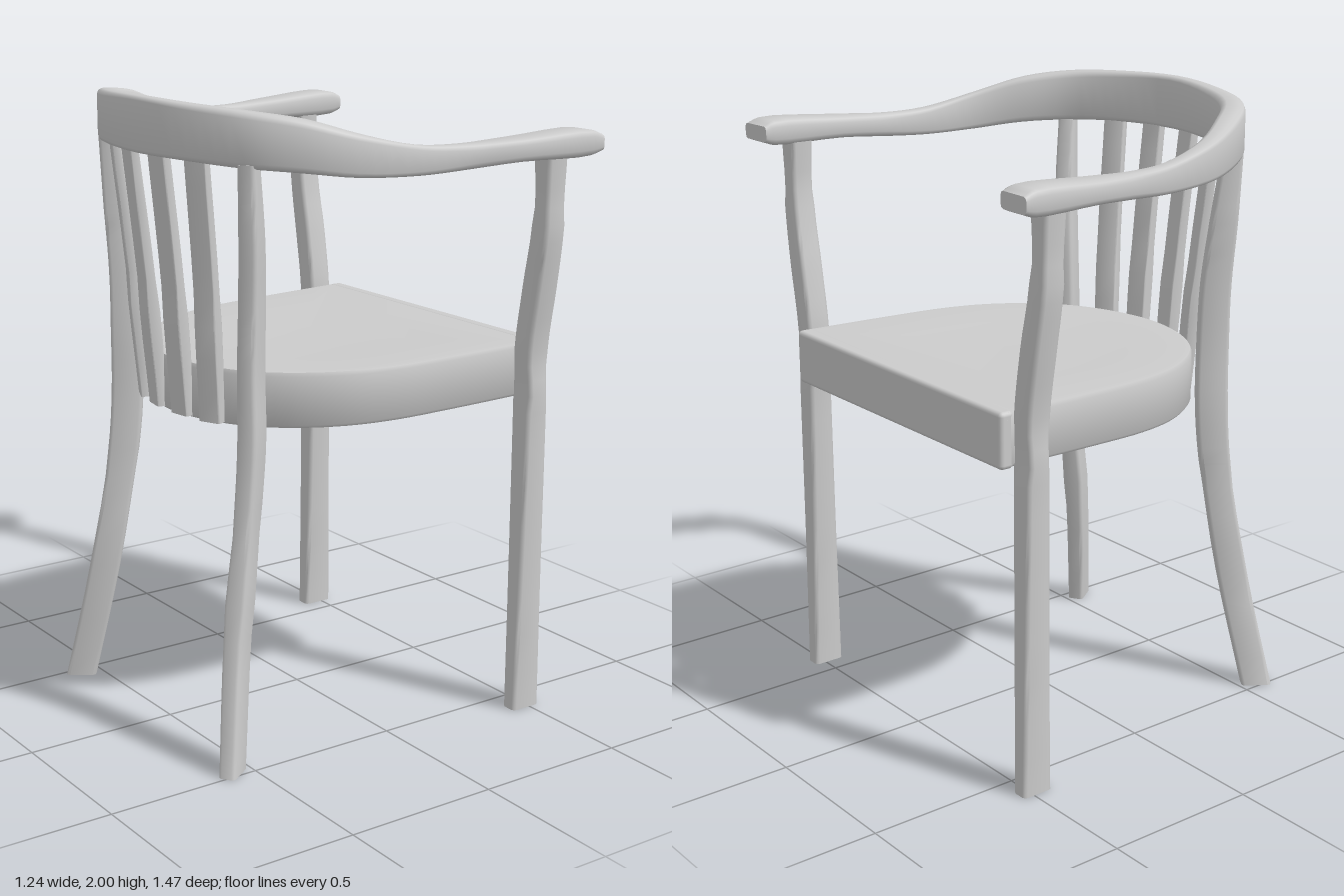
import * as THREE from 'three';
import { toCreasedNormals } from 'three/addons/utils/BufferGeometryUtils.js';
import { RoundedBoxGeometry } from 'three/addons/geometries/RoundedBoxGeometry.js';

const material = new THREE.MeshStandardMaterial({ color: 0xcccccc });

function addMesh(parent, name, geometry) {
  const mesh = new THREE.Mesh(geometry, material);
  mesh.name = name;
  parent.add(mesh);
  return mesh;
}

// Skin a list of equal-length rings and cap both ends
function loft(rings, crease = 0.9) {
  const n = rings[0].length, pos = [], index = [];
  rings.forEach(r => r.forEach(p => pos.push(p.x, p.y, p.z)));
  for (let i = 0; i < rings.length - 1; i++) {
    for (let j = 0; j < n; j++) {
      const a = i * n + j, b = i * n + (j + 1) % n;
      index.push(a, b, b + n, a, b + n, a + n);
    }
  }
  const last = (rings.length - 1) * n;
  for (let j = 1; j < n - 1; j++) {
    index.push(0, j + 1, j, last, last + j, last + j + 1);
  }
  const g = new THREE.BufferGeometry();
  g.setAttribute('position', new THREE.Float32BufferAttribute(pos, 3));
  g.setIndex(index);
  return toCreasedNormals(g, crease);
}

// Counter-clockwise rounded rectangle of size w x h, three points per corner
function roundedRect(w, h, r) {
  const pts = [];
  [[1, 1], [-1, 1], [-1, -1], [1, -1]].forEach(([sx, sy], q) => {
    for (let k = 0; k < 3; k++) {
      const a = (q + k / 2) * Math.PI / 2;
      pts.push([sx * (w / 2 - r) + r * Math.cos(a), sy * (h / 2 - r) + r * Math.sin(a)]);
    }
  });
  return pts;
}

// Upright post through stations [y, x, z, depth, width], turned by yaw
function post(stations, side, yaw, radius, steps) {
  const centre = new THREE.CatmullRomCurve3(stations.map(([y, x, z]) => new THREE.Vector3(x, y, z * side)));
  const size = new THREE.CatmullRomCurve3(stations.map(s => new THREE.Vector3(s[3], s[4], 0)));
  const c = Math.cos(yaw * side), s = Math.sin(yaw * side), rings = [];
  for (let i = 0; i <= steps; i++) {
    const p = centre.getPoint(i / steps), d = size.getPoint(i / steps);
    rings.push(roundedRect(d.x, d.y, radius).map(([u, v]) =>
      new THREE.Vector3(p.x + u * c - v * s, p.y, p.z - u * s - v * c)));
  }
  return loft(rings);
}

// Seat with a hollow underside and a slightly dished top
function seatGeometry() {
  const half = [[0.2, 0.54], [0, 0.525], [-0.15, 0.485], [-0.28, 0.41], [-0.38, 0.31], [-0.45, 0.17]];
  const path = [[0.545, 0.55], ...half, [-0.48, 0], ...half.map(([x, z]) => [x, -z]).reverse(), [0.545, -0.55]];
  const curve = new THREE.CatmullRomCurve3(path.map(([x, z]) => new THREE.Vector3(x, 0, z)));
  const outline = curve.getPoints(56).reverse();
  const profile = [ // [scale, height, slope towards the front]
    [0.01, 1.15, 0], [0.94, 1.15, 0], [0.945, 1.033, 0.025], [0.985, 1.03, 0.025], [1, 1.04, 0.025],
    [1, 1.188, 0.02], [0.99, 1.2, 0.02], [0.95, 1.202, 0.02], [0.6, 1.193, 0.015], [0.01, 1.188, 0]];
  return loft(profile.map(([k, y, slope]) => outline.map(p =>
    new THREE.Vector3(0.05 + (p.x - 0.05) * k, y + slope * p.x, p.z * k))), 0.7);
}

// Arms and back rest as one bent rail
function railGeometry() {
  const half = [ // [outer x, outer z, inner x, inner z, bottom, top]
    [0.62, 0.735, 0.615, 0.615, 1.825, 1.875], [0.58, 0.735, 0.58, 0.612, 1.812, 1.89],
    [0.33, 0.71, 0.33, 0.603, 1.81, 1.878], [0.15, 0.665, 0.14, 0.597, 1.795, 1.87],
    [0, 0.64, 0, 0.585, 1.788, 1.876], [-0.2, 0.6, -0.16, 0.555, 1.793, 1.915],
    [-0.355, 0.53, -0.295, 0.48, 1.81, 1.96], [-0.473, 0.425, -0.42, 0.37, 1.82, 1.982],
    [-0.555, 0.24, -0.5, 0.21, 1.828, 1.993]];
  const all = [...half, [-0.59, 0, -0.542, 0, 1.83, 2],
    ...half.map(([a, b, c, d, e, f]) => [a, -b, c, -d, e, f]).reverse()];
  const outer = new THREE.CatmullRomCurve3(all.map(s => new THREE.Vector3(s[0], s[5], s[1])));
  const inner = new THREE.CatmullRomCurve3(all.map(s => new THREE.Vector3(s[2], s[4], s[3])));
  const rings = [], steps = 72;
  for (let i = 0; i <= steps; i++) {
    const o = outer.getPoint(i / steps), n = inner.getPoint(i / steps);
    const w = Math.hypot(o.x - n.x, o.z - n.z), h = o.y - n.y;
    rings.push(roundedRect(w, h, Math.min(w, h) * 0.25).map(([u, v]) => {
      const k = u / w + 0.5;
      return new THREE.Vector3(n.x + (o.x - n.x) * k, (o.y + n.y) / 2 + v, n.z + (o.z - n.z) * k);
    }));
  }
  return loft(rings);
}

export function createModel() {
  const chair = new THREE.Group();
  chair.name = 'armchair';

  addMesh(chair, 'seat', seatGeometry());
  addMesh(chair, 'armAndBackRail', railGeometry());

  // Front rail of the seat
  const rail = addMesh(chair, 'frontRail', new RoundedBoxGeometry(0.05, 0.175, 1.1, 2, 0.014));
  rail.position.set(0.545, 1.126, 0);

  const frontLeg = [
    [0, 0.485, 0.587, 0.105, 0.055], [0.5, 0.486, 0.585, 0.09, 0.068], [1, 0.486, 0.585, 0.08, 0.08],
    [1.2, 0.485, 0.585, 0.08, 0.08], [1.4, 0.485, 0.615, 0.08, 0.082], [1.6, 0.482, 0.648, 0.077, 0.075],
    [1.83, 0.48, 0.654, 0.077, 0.075]];
  const backLeg = [
    [0, -0.565, 0.473, 0.1, 0.055], [0.4, -0.5, 0.407, 0.1, 0.06], [0.8, -0.437, 0.375, 0.1, 0.06],
    [1, -0.42, 0.37, 0.102, 0.062], [1.2, -0.42, 0.368, 0.1, 0.06], [1.4, -0.42, 0.375, 0.095, 0.06],
    [1.6, -0.43, 0.392, 0.085, 0.06], [1.832, -0.448, 0.406, 0.062, 0.055]];
  const slats = [ // [yaw, bottom x, bottom z, top x, top z]
    [0.15, -0.478, 0.073, -0.558, 0.085], [0.42, -0.452, 0.2, -0.522, 0.24]];

  // Legs and back slats on both sides
  for (const side of [1, -1]) {
    const group = new THREE.Group();
    group.name = side > 0 ? 'frontFacingSide' : 'rearFacingSide';
    chair.add(group);
    addMesh(group, 'frontLeg', post(frontLeg, side, 0, 0.012, 24));
    addMesh(group, 'backLeg', post(backLeg, side, 0.6, 0.012, 28));
    for (const [yaw, x0, z0, x1, z1] of slats) {
      const stations = [[1.025, x0, z0, 0.034, 0.074],
        [1.43, (x0 + x1) / 2 + 0.008, (z0 + z1) / 2, 0.034, 0.074], [1.86, x1, z1, 0.03, 0.074]];
      addMesh(group, 'backSlat', post(stations, side, yaw, 0.004, 8));
    }
  }
  return chair;
}
